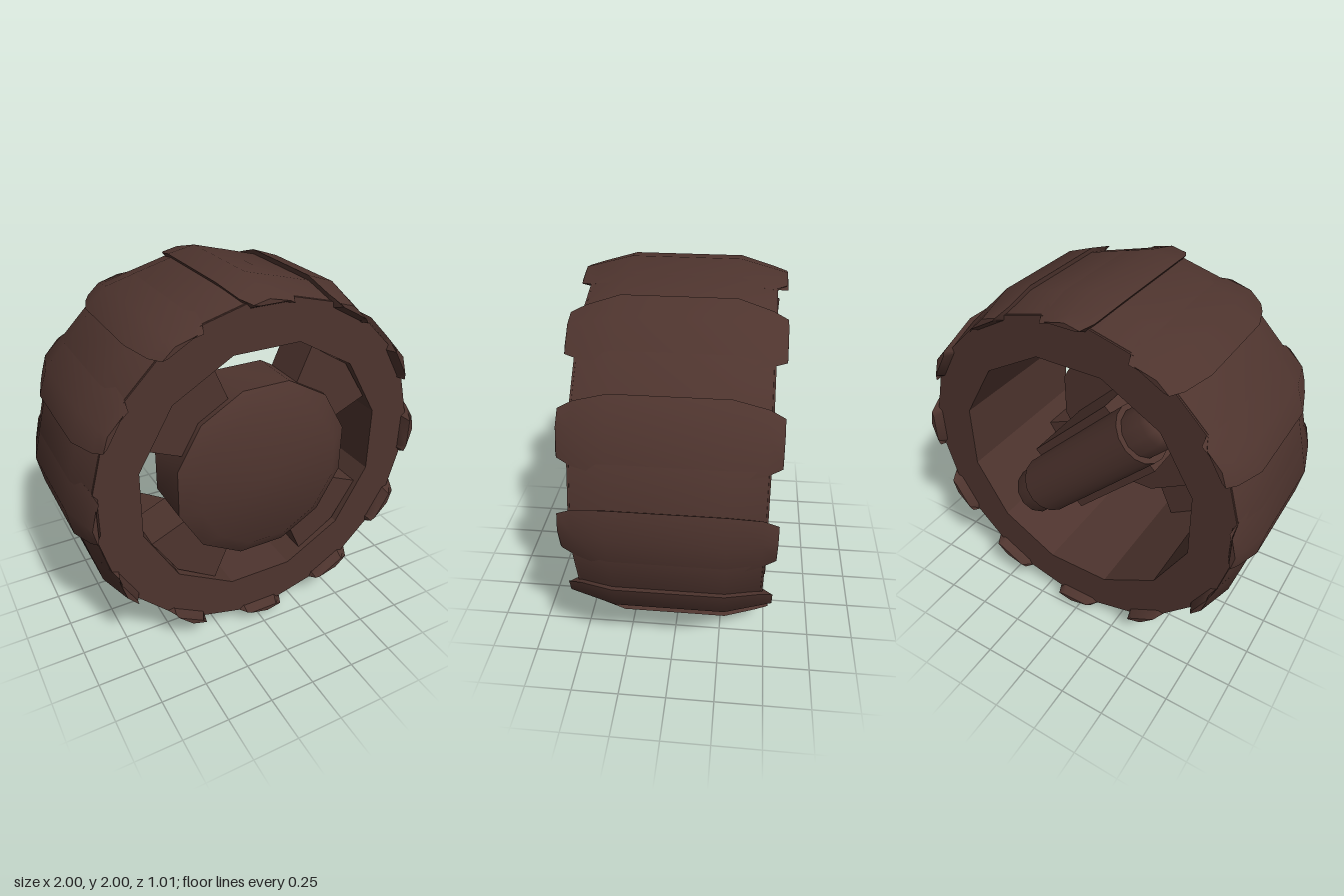
import * as THREE from 'three';
import { toCreasedNormals, mergeVertices } from 'three/addons/utils/BufferGeometryUtils.js';

const rubber = new THREE.MeshStandardMaterial({ color: 0x4e342e });
rubber.name = 'darkBrown';

// Revolves [radius, z] points around the wheel axis, with flats at top and sides
function turned(points, sides, crease = 0.6) {
  const g = new THREE.LatheGeometry(
    points.map(([r, z]) => new THREE.Vector2(r, z)), sides, Math.PI / sides);
  g.rotateX(Math.PI / 2);
  return toCreasedNormals(g, crease);
}

function polygon(target, radius, sides) {
  for (let i = 0; i < sides; i++) {
    const a = ((i + 0.5) / sides) * Math.PI * 2;
    const p = [radius * Math.cos(a), radius * Math.sin(a)];
    if (i) target.lineTo(...p); else target.moveTo(...p);
  }
  target.closePath();
  return target;
}

// One tread lug: five-point cross-sections lofted across the tyre
function lugGeometry() {
  // z, half angle, top radius, bottom radius
  const half = [[0.5, 0.12, 0.938, 0.915], [0.43, 0.155, 0.957, 0.885], [0.27, 0.185, 1.0, 0.9]];
  const stations = [
    ...half.map(([z, ...rest]) => [-z, ...rest]),
    ...half.slice().reverse(),
  ];
  const pos = [];
  const index = [];
  for (const [z, s, top, bottom] of stations) {
    const section = [
      [-s * 0.75, bottom], [-s, top * 0.962], [0.03, top], [s, top * 0.987], [s * 0.75, bottom],
    ];
    for (const [a, r] of section) pos.push(r * Math.cos(a), r * Math.sin(a), z - 0.01);
  }
  const n = 5;
  for (let k = 0; k < stations.length - 1; k++) {
    for (let i = 0; i < n; i++) {
      const a = k * n + i;
      const b = k * n + ((i + 1) % n);
      index.push(a, b, b + n, a, b + n, a + n);
    }
  }
  const last = (stations.length - 1) * n;
  for (let i = 1; i < n - 1; i++) {
    index.push(0, i + 1, i, last, last + i, last + i + 1);
  }
  const g = new THREE.BufferGeometry();
  g.setAttribute('position', new THREE.Float32BufferAttribute(pos, 3));
  g.setIndex(index);
  return toCreasedNormals(mergeVertices(g), 0.8);
}

export function createModel() {
  const group = new THREE.Group();
  const wheel = new THREE.Group();
  wheel.name = 'wheel';
  wheel.position.y = 1;
  group.add(wheel);

  const add = (name, geometry, parent = wheel) => {
    const mesh = new THREE.Mesh(geometry, rubber);
    mesh.name = name;
    parent.add(mesh);
    return mesh;
  };

  // Tyre walls with a twelve-sided bore
  const ring = polygon(new THREE.Shape(), 0.918, 24);
  ring.holes.push(polygon(new THREE.Path(), 0.7, 12));
  const walls = new THREE.ExtrudeGeometry(ring, { depth: 0.9, bevelEnabled: false });
  walls.translate(0, 0, -0.46);
  add('tyreWalls', walls);

  // Crowned running surface
  add('tyreTread', turned([
    [0.9, -0.46], [0.92, -0.45], [0.968, -0.28], [0.968, 0.26], [0.92, 0.43], [0.9, 0.44],
  ], 24));

  // Twelve lugs
  const lug = lugGeometry();
  for (let i = 0; i < 12; i++) {
    add('treadLug', lug).rotation.z = (i * Math.PI) / 6;
  }

  // Hub cap
  add('hub', turned([[0, 0.16], [0.5, 0.16], [0.5, 0.44], [0.4, 0.505], [0, 0.505]], 12));

  // Four flared spokes on the diagonals
  const spokeShape = new THREE.Shape();
  const lo = 23.5 * Math.PI / 180;
  const hi = Math.PI / 2 - lo;
  const corners = [[0.44, lo], [0.68, lo], [0.69, Math.PI / 4], [0.68, hi], [0.44, hi]];
  spokeShape.setFromPoints(corners.map(([r, a]) => new THREE.Vector2(r * Math.cos(a), r * Math.sin(a))));
  const spoke = new THREE.ExtrudeGeometry(spokeShape, { depth: 0.24, bevelEnabled: false });
  spoke.translate(0, 0, 0.17);
  for (let i = 0; i < 4; i++) add('spoke', spoke).rotation.z = (i * Math.PI) / 2;

  // Diagonal axle bar and its mounting block behind the hub
  const axle = new THREE.Group();
  axle.name = 'axle';
  axle.rotation.z = Math.PI / 4;
  wheel.add(axle);
  const block = new THREE.BoxGeometry(0.42, 0.66, 0.46);
  block.translate(0, 0, -0.05);
  add('axleBlock', block, axle);
  const bar = new THREE.CylinderGeometry(0.165, 0.165, 0.86, 16);
  bar.translate(0, 0, -0.28);
  add('axleBar', toCreasedNormals(bar, 0.6), axle);
  for (const side of [0, Math.PI]) {
    const pin = new THREE.LatheGeometry(
      [[0.135, 0.4], [0.135, 0.57], [0.1, 0.62], [0, 0.64]].map(([r, y]) => new THREE.Vector2(r, y)), 12);
    pin.rotateZ(side);
    pin.translate(0, 0, -0.28);
    add('axlePin', pin, axle);
  }
  return group;
}
